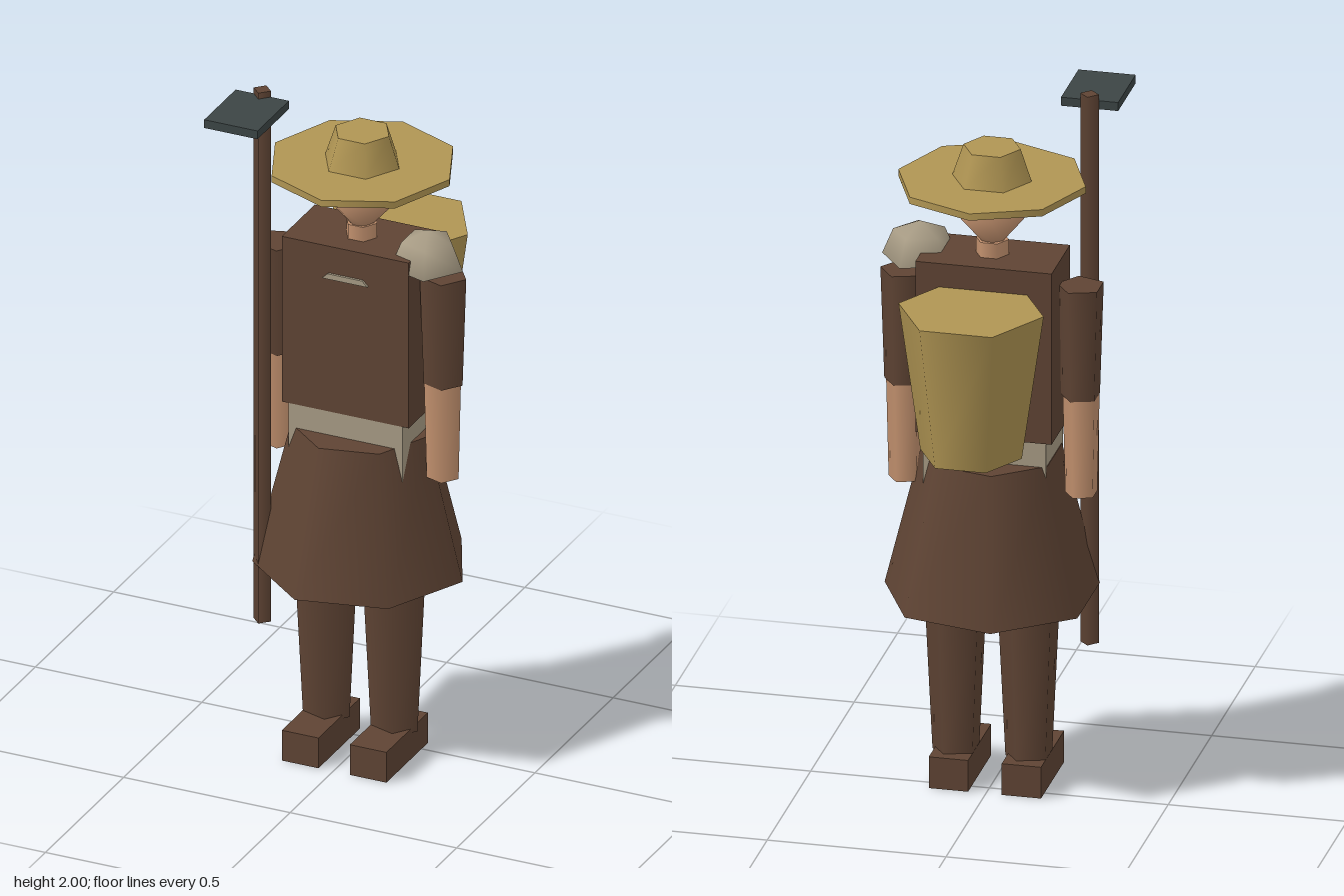
import * as THREE from 'three';

function material(name, color) {
  const m = new THREE.MeshStandardMaterial({ color });
  m.name = name;
  return m;
}

export function createModel() {
  const model = new THREE.Group();
  model.name = 'farmer';

  const brown = material('brown cloth', 0x5f4434);
  const straw = material('straw', 0xb09553);
  const skin = material('skin', 0xc4926f);
  const linen = material('linen', 0xa89c85);
  const slate = material('slate metal', 0x3c4545);
  linen.side = THREE.DoubleSide;

  const CX = 0.004, CZ = 0.047;

  function add(name, geometry, mat, x, y, z) {
    const mesh = new THREE.Mesh(geometry, mat);
    mesh.name = name;
    mesh.position.set(x, y, z);
    model.add(mesh);
    return mesh;
  }

  // Tapered prism between two heights, one corner pointing to +x
  function prism(name, mat, sides, rTop, rBottom, y0, y1, x = CX, z = CZ) {
    const g = new THREE.CylinderGeometry(rTop, rBottom, y1 - y0, sides);
    g.rotateY(Math.PI / 2);
    return add(name, g, mat, x, (y0 + y1) / 2, z);
  }

  // Box given by its extents
  function box(name, mat, x0, x1, y0, y1, z0, z1) {
    return add(name, new THREE.BoxGeometry(x1 - x0, y1 - y0, z1 - z0), mat,
      (x0 + x1) / 2, (y0 + y1) / 2, (z0 + z1) / 2);
  }

  // Hat
  prism('hatBrim', straw, 8, 0.262, 0.262, 1.758, 1.778);
  prism('hatCrown', straw, 6, 0.08, 0.111, 1.778, 1.87);

  // Head and neck
  const headProfile = [[0, 1.58], [0.035, 1.598], [0.109, 1.683], [0.045, 1.762], [0, 1.775]]
    .map(([r, y]) => new THREE.Vector2(r, y));
  const headShape = new THREE.LatheGeometry(headProfile, 7);
  headShape.rotateY(Math.PI / 2);
  add('head', headShape, skin, CX, 0, 0.052);
  prism('neck', skin, 6, 0.046, 0.046, 1.54, 1.6, CX, 0.05);

  // Torso, undershirt and skirt
  box('vest', brown, -0.188, 0.193, 1.053, 1.556, -0.058, 0.153);
  box('undershirt', linen, -0.17, 0.173, 0.8, 1.053, -0.05, 0.15);
  prism('skirt', brown, 7, 0.195, 0.3, 0.56, 0.98, CX, 0.045);

  // Small collar clasp on the chest
  const clasp = new THREE.Shape();
  clasp.moveTo(-0.068, 0);
  clasp.lineTo(0.068, 0);
  clasp.lineTo(0.052, 0.016);
  clasp.lineTo(-0.052, 0.016);
  add('chestClasp', new THREE.ExtrudeGeometry(clasp, { depth: 0.008, bevelEnabled: false }),
    linen, CX, 1.459, 0.152);

  // Shoulder pad on the left side
  add('shoulderPad', new THREE.SphereGeometry(0.105, 5, 2, Math.PI, Math.PI * 2, 0, Math.PI / 2),
    linen, 0.212, 1.518, 0.07);

  // Arms and legs, one set per side
  for (const [side, armX, legX] of [['left', 0.25, 0.105], ['right', -0.244, -0.099]]) {
    prism(side + 'Sleeve', brown, 5, 0.067, 0.056, 1.16, 1.485, armX, 0.049);
    prism(side + 'Forearm', skin, 5, 0.053, 0.046, 0.873, 1.165, armX - 0.002, 0.049);
    prism(side + 'Trouser', linen, 5, 0.09, 0.087, 0.5, 0.85, legX, 0.052);
    prism(side + 'Boot', brown, 5, 0.088, 0.067, 0.08, 0.505, legX, 0.052);
    box(side + 'Foot', brown, legX - 0.055, legX + 0.055, 0, 0.092, -0.04, 0.225);
  }

  // Basket on the back
  prism('basket', straw, 6, 0.203, 0.142, 1.063, 1.487, CX, -0.195);

  // Hoe: long pole and flat blade
  prism('hoePole', brown, 4, 0.026, 0.026, 0.385, 2, -0.239, 0.169);
  box('hoeBlade', slate, -0.319, -0.159, 1.957, 1.982, 0.169, 0.37);

  // The shoulder pad is a two-ring dome
  const pad = model.getObjectByName('shoulderPad');
  pad.geometry = new THREE.SphereGeometry(0.105, 5, 2, Math.PI, Math.PI * 2, 0, Math.PI / 2);

  return model;
}
